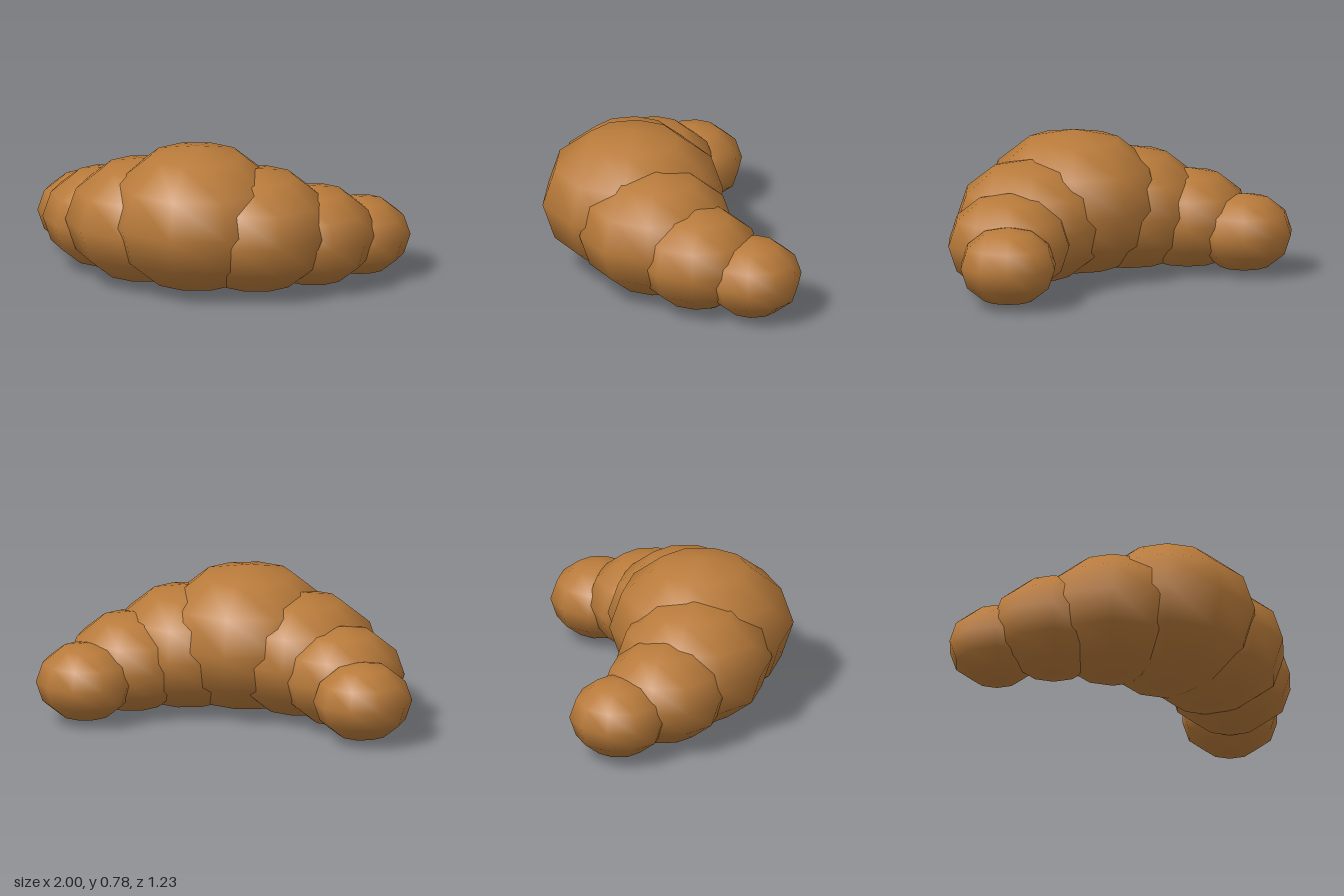
import * as THREE from 'three';

// A crescent pastry: flattened low-sided spheres shrinking along an arc
export function createModel() {
  const group = new THREE.Group();
  group.name = 'croissant';
  const crust = new THREE.MeshStandardMaterial({ color: 0xb87a3a });

  function addLobe(name, radius, x, y, z) {
    // a corner of the ten-sided ring points along z
    const geometry = new THREE.SphereGeometry(radius, 10, 6, Math.PI / 2);
    geometry.scale(1, 0.8, 1);
    const lobe = new THREE.Mesh(geometry, crust);
    lobe.name = name;
    lobe.position.set(x, y, z);
    group.add(lobe);
  }

  // thick middle of the crescent
  addLobe('middleLobe', 0.485, 0, 0.392, 0.13);

  // mirrored lobes out to the tips
  for (const [side, s] of [['left', 1], ['right', -1]]) {
    addLobe(side + 'InnerLobe', 0.4125, s * 0.31, 0.336, 0.07);
    addLobe(side + 'OuterLobe', 0.333, s * 0.57, 0.279, -0.1);
    addLobe(side + 'Tip', 0.26, s * 0.753, 0.222, -0.355);
  }
  return group;
}
